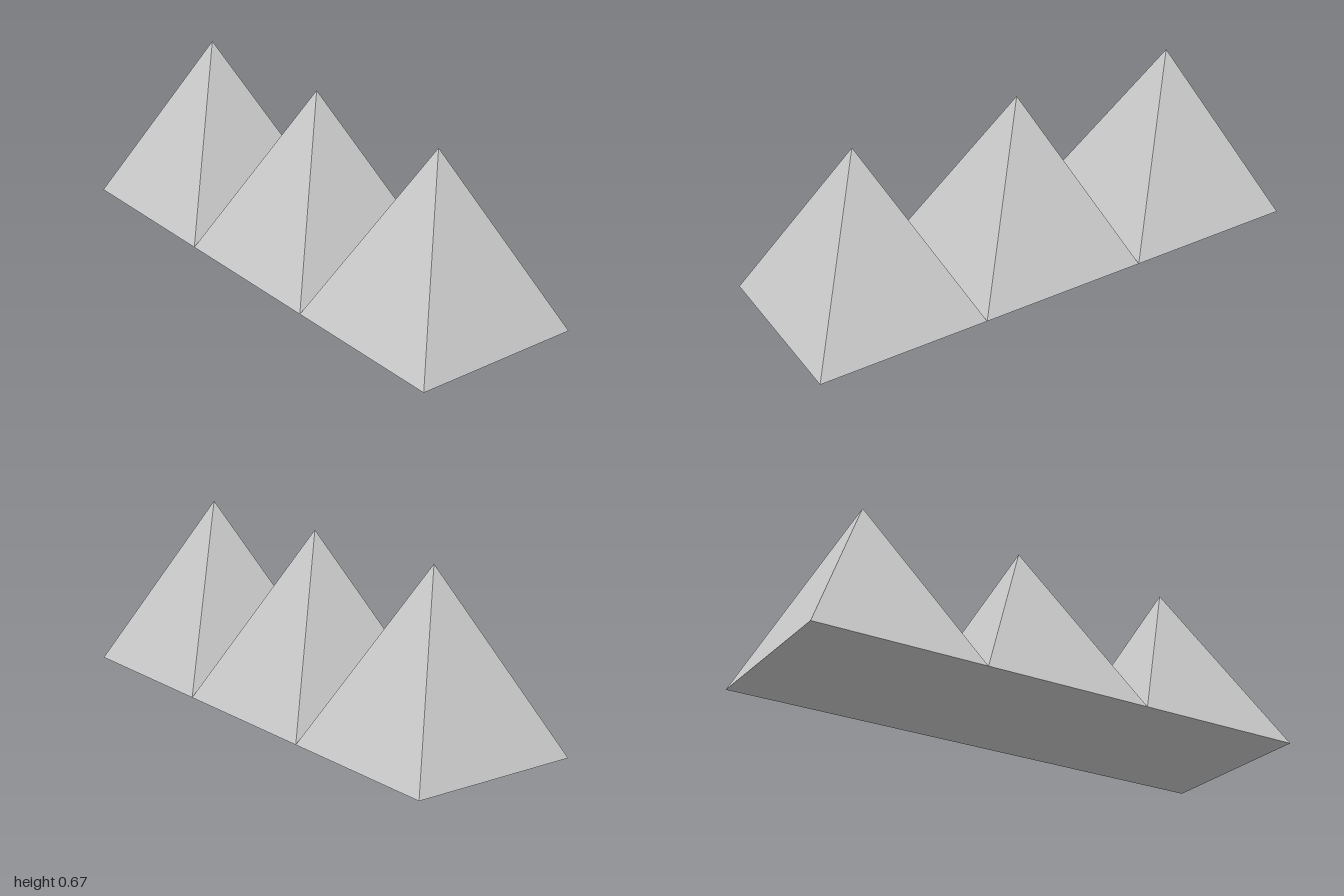
import * as THREE from 'three';

const COUNT = 3;
const SIDE = 2 / COUNT; // base edge and height of each pyramid

export function createModel() {
  const model = new THREE.Group();
  model.name = 'pyramidRow';
  const material = new THREE.MeshStandardMaterial({ color: 0xcccccc, flatShading: true });

  // Square pyramid with its base edges along x and z, standing on y = 0
  const geometry = new THREE.ConeGeometry(SIDE / Math.SQRT2, SIDE, 4, 1, false, Math.PI / 4);
  geometry.translate(0, SIDE / 2, 0);

  // Row of equal pyramids, base edges touching
  for (let i = 0; i < COUNT; i++) {
    const pyramid = new THREE.Mesh(geometry, material);
    pyramid.name = ['rightPyramid', 'middlePyramid', 'leftPyramid'][i];
    pyramid.position.x = (i - (COUNT - 1) / 2) * SIDE;
    model.add(pyramid);
  }
  return model;
}
